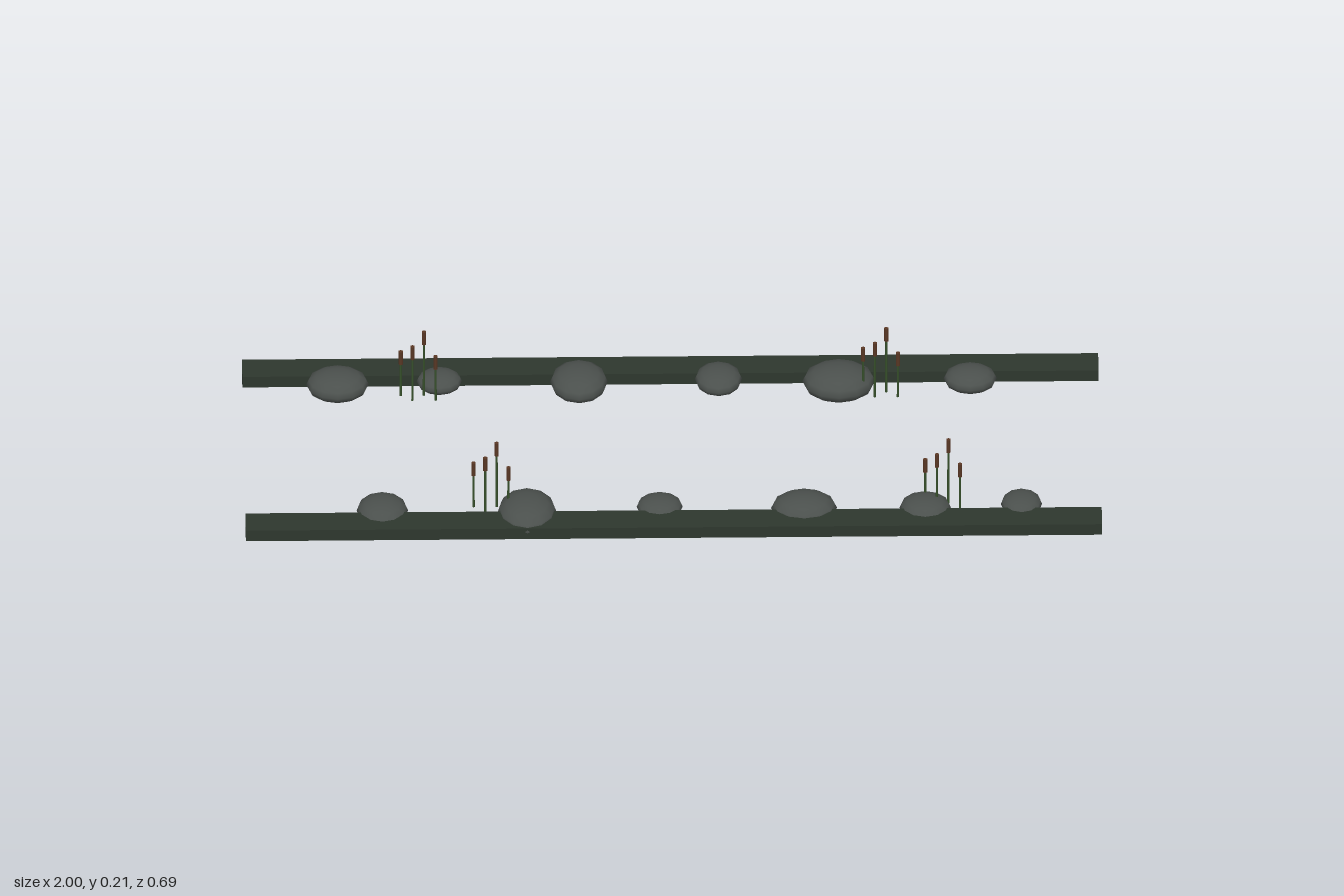
import * as THREE from 'three';

const mat = (name, color) => {
  const m = new THREE.MeshStandardMaterial({ color });
  m.name = name;
  return m;
};

export function createModel() {
  const bankGreen = mat('bankGreen', 0x2e372e);
  const stoneGrey = mat('stoneGrey', 0x4b504d);
  const stemGreen = mat('stemGreen', 0x38522c);
  const headBrown = mat('headBrown', 0x5a3825);

  const model = new THREE.Group();
  model.name = 'riverBanks';
  const add = (parent, name, geometry, material, x, y, z) => {
    const mesh = new THREE.Mesh(geometry, material);
    mesh.name = name;
    mesh.position.set(x, y, z);
    parent.add(mesh);
    return mesh;
  };

  // Two long, low banks
  const bankGeo = new THREE.BoxGeometry(2, 0.03, 0.07);
  add(model, 'frontBank', bankGeo, bankGreen, 0, 0.036, 0.309);
  add(model, 'backBank', bankGeo, bankGreen, 0, 0.036, -0.313);

  // Flattened stones along each bank: x, z, half width, half depth
  const stoneGeo = new THREE.SphereGeometry(1, 12, 8);
  const stones = [
    [-0.778, -0.26, 0.073, 0.062], [-0.54, -0.27, 0.053, 0.047],
    [-0.214, -0.263, 0.067, 0.075], [0.112, -0.27, 0.055, 0.06],
    [0.393, -0.258, 0.085, 0.071], [0.7, -0.265, 0.062, 0.052],
    [-0.68, 0.252, 0.06, 0.064], [-0.342, 0.263, 0.069, 0.083],
    [-0.032, 0.245, 0.054, 0.05], [0.305, 0.254, 0.077, 0.061],
    [0.588, 0.257, 0.06, 0.056], [0.813, 0.245, 0.048, 0.053],
  ];
  stones.forEach(([x, z, rx, rz]) => {
    add(model, 'stone', stoneGeo, stoneGrey, x, 0.041, z)
      .scale.set(rx, 0.45 * Math.max(rx, rz), rz);
  });

  // Clumps of four bulrushes, staggered in depth: x, z
  const headLength = 0.036;
  const headGeo = new THREE.CylinderGeometry(0.0055, 0.0055, headLength, 6);
  const tops = [0.156, 0.184, 0.212, 0.156];
  const clumps = [[-0.59, -0.218], [0.49, -0.218], [-0.426, 0.234], [0.629, 0.234]];
  clumps.forEach(([cx, cz]) => {
    const clump = new THREE.Group();
    clump.name = 'bulrushClump';
    clump.position.set(cx, 0, cz);
    model.add(clump);
    tops.forEach((top, i) => {
      const x = (i - 1.5) * 0.027;
      const z = i % 2 ? 0.01 : -0.01;
      const base = 0.03;
      const stemTop = top - headLength / 2;
      const stemGeo = new THREE.CylinderGeometry(0.0025, 0.003, stemTop - base, 5);
      add(clump, 'stem', stemGeo, stemGreen, x, (stemTop + base) / 2, z);
      add(clump, 'seedHead', headGeo, headBrown, x, top - headLength / 2, z);
    });
  });

  return model;
}
